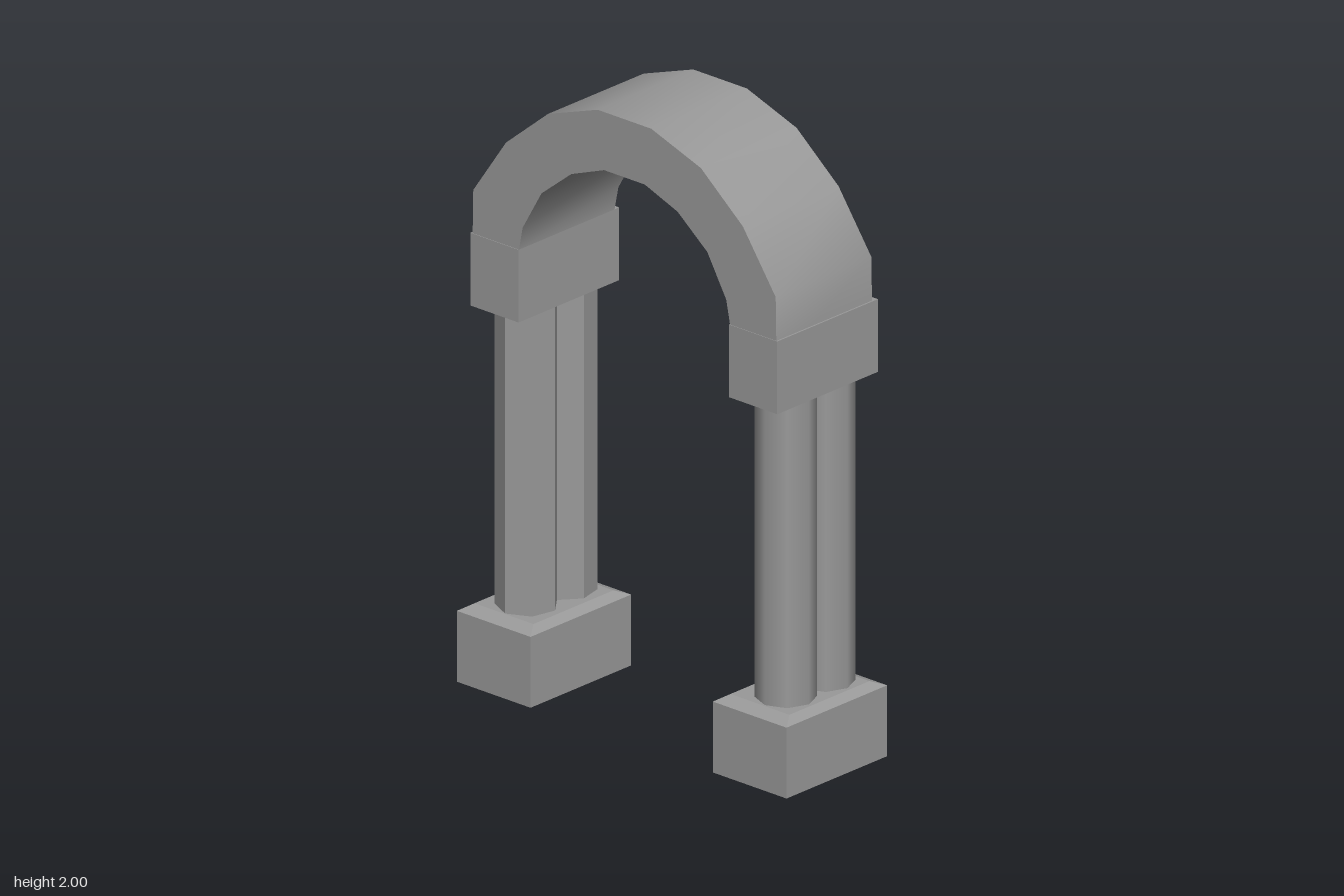
import * as THREE from 'three';
import { toCreasedNormals } from 'three/addons/utils/BufferGeometryUtils.js';

const stone = 0x999999;
const smooth = new THREE.MeshStandardMaterial({ color: stone });
const faceted = new THREE.MeshStandardMaterial({ color: stone, flatShading: true });

function addMesh(parent, name, geometry, material, x, y, z) {
  const mesh = new THREE.Mesh(geometry, material);
  mesh.name = name;
  mesh.position.set(x, y, z);
  parent.add(mesh);
}

// Plinth block whose top edge is chamfered
function plinthGeometry(width, height, depth, shoulder) {
  const geo = new THREE.BoxGeometry(width, height, depth, 1, 2, 1);
  geo.translate(0, height / 2, 0);
  const p = geo.attributes.position;
  for (let i = 0; i < p.count; i++) {
    const y = p.getY(i);
    if (y > height * 0.9) {
      p.setX(i, p.getX(i) - Math.sign(p.getX(i)) * 0.045);
      p.setZ(i, p.getZ(i) - Math.sign(p.getZ(i)) * 0.03);
    } else if (y > height * 0.1) {
      p.setY(i, shoulder);
    }
  }
  return geo;
}

// Arch band: half profiles mirrored across the crown, extruded along x
function archGeometry() {
  const outer = [[0.613, 1.38], [0.609, 1.6], [0.477, 1.79], [0.308, 1.93], [0.108, 2]];
  const inner = [[0.428, 1.38], [0.425, 1.46], [0.41, 1.535], [0.334, 1.667], [0.214, 1.763], [0.082, 1.813]];
  const mirror = (pts) => pts.map(([z, y]) => [-z, y]);
  const outline = [...outer, ...mirror(outer).reverse(), ...mirror(inner), ...inner.reverse()];
  const shape = new THREE.Shape(outline.map(([z, y]) => new THREE.Vector2(z, y)));
  const geo = new THREE.ExtrudeGeometry(shape, { depth: 0.42, bevelEnabled: false });
  geo.rotateY(Math.PI / 2);
  return toCreasedNormals(geo, 0.7);
}

export function createModel() {
  const model = new THREE.Group();
  model.name = 'archway';

  // Front pier has softened columns, back pier has crisp seven-sided ones
  const piers = [
    { name: 'frontPier', baseZ: 0.516, topZ: 0.53, columnZ: 0.53, radius: 0.093, sides: 8, material: smooth },
    { name: 'backPier', baseZ: -0.515, topZ: -0.512, columnZ: -0.513, radius: 0.096, sides: 7, material: faceted },
  ];
  for (const { name, baseZ, topZ, columnZ, radius, sides, material } of piers) {
    const pier = new THREE.Group();
    pier.name = name;
    addMesh(pier, 'plinth', plinthGeometry(0.442, 0.247, 0.297, 0.228), faceted, 0, 0, baseZ);
    addMesh(pier, 'capital', new THREE.BoxGeometry(0.442, 0.234, 0.194), faceted, 0, 1.343, topZ);
    // Each column points a corner outward, away from its twin
    for (const x of [-0.077, 0.092]) {
      const turn = Math.sign(x) * Math.PI / 2;
      const shaft = new THREE.CylinderGeometry(radius, radius, 1.02, sides, 1, false, turn);
      addMesh(pier, 'column', shaft, material, x, 0.74, columnZ);
    }
    model.add(pier);
  }

  addMesh(model, 'arch', archGeometry(), smooth, -0.219, 0, 0.01);
  return model;
}
